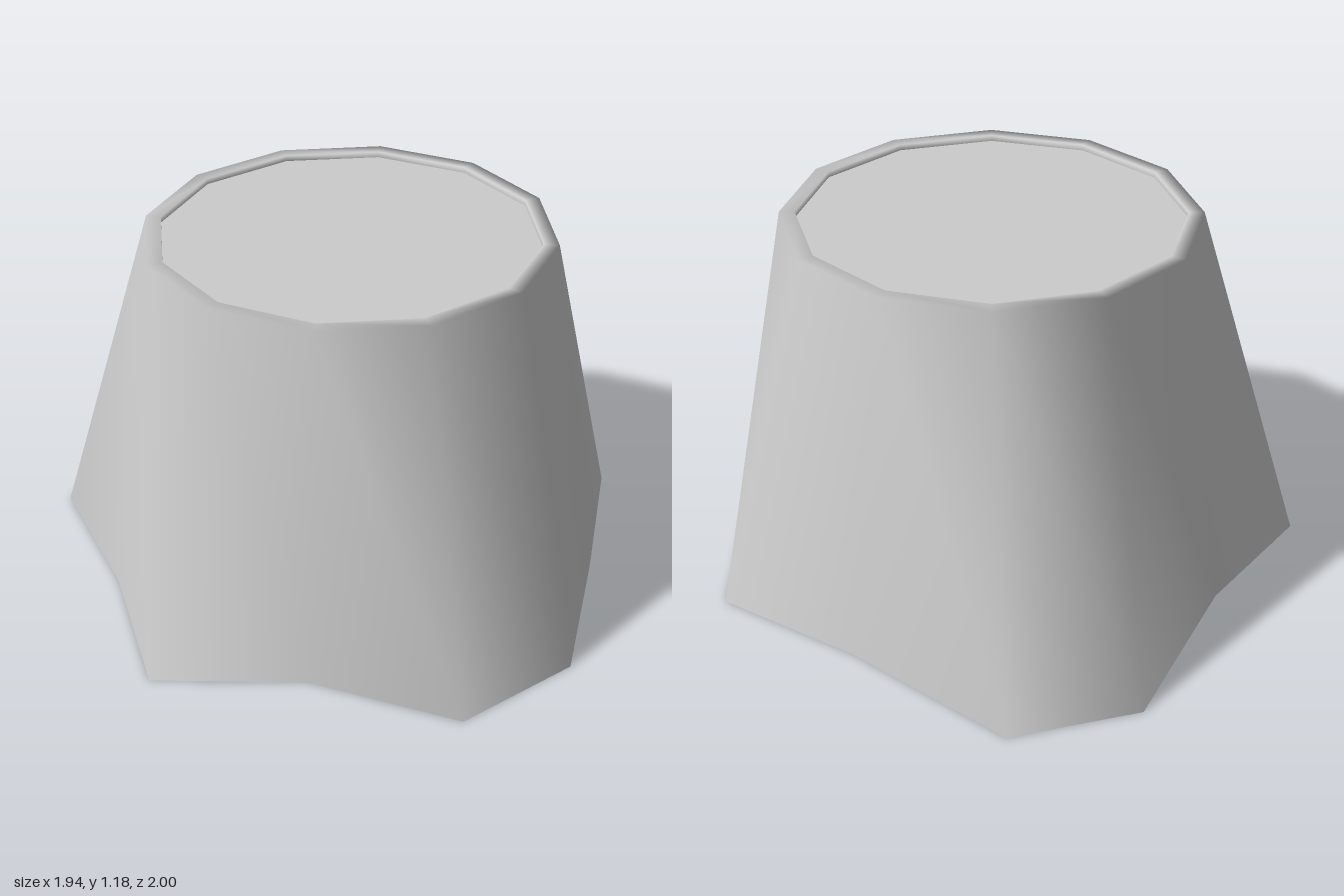
import * as THREE from 'three';

const SIDES = 12, HEIGHT = 1.18, CX = -0.055, CZ = -0.04;

// Regular twelve-sided loop, starting at the back and turning toward +x
function ringLoop(radius, y) {
  return Array.from({ length: SIDES }, (_, i) => {
    const a = (i / SIDES) * Math.PI * 2;
    return [CX + radius * Math.sin(a), y, CZ - radius * Math.cos(a)];
  });
}

// Smooth skin through successive loops
function skin(loops) {
  const index = [];
  for (let r = 0; r < loops.length - 1; r++) {
    for (let i = 0; i < SIDES; i++) {
      const j = (i + 1) % SIDES;
      const a = r * SIDES + i, b = r * SIDES + j;
      const c = a + SIDES, d = b + SIDES;
      index.push(a, d, b, a, c, d);
    }
  }
  const geometry = new THREE.BufferGeometry();
  geometry.setAttribute('position', new THREE.Float32BufferAttribute(loops.flat(2), 3));
  geometry.setIndex(index);
  geometry.computeVertexNormals();
  return geometry;
}

export function createModel() {
  const group = new THREE.Group();
  group.name = 'stump';
  const grey = new THREE.MeshStandardMaterial({ color: 0xcccccc, side: THREE.DoubleSide });
  grey.name = 'light grey';

  // Irregular flared foot outline (x, z), in the same order as the ring loops
  const foot = [
    [-0.05, -0.9], [0.46, -0.88], [0.72, -0.4], [0.97, 0.1],
    [0.86, 0.53], [0.37, 0.69], [-0.03, 1.0], [-0.48, 0.69],
    [-0.97, 0.45], [-0.91, -0.05], [-0.96, -0.69], [-0.66, -1.0],
  ].map(([x, z]) => [x, 0, z]);

  // Hollow flared wall with a narrow rim folding down to the recessed top
  const wall = new THREE.Mesh(skin([
    foot,
    ringLoop(0.675, HEIGHT),
    ringLoop(0.625, HEIGHT),
    ringLoop(0.625, HEIGHT - 0.02),
  ]), grey);
  wall.name = 'wallAndRim';

  // Flat recessed top
  const top = new THREE.Mesh(new THREE.CircleGeometry(0.625, SIDES).rotateX(-Math.PI / 2), grey);
  top.position.set(CX, HEIGHT - 0.02, CZ);
  top.name = 'recessedTop';

  group.add(wall, top);
  return group;
}
